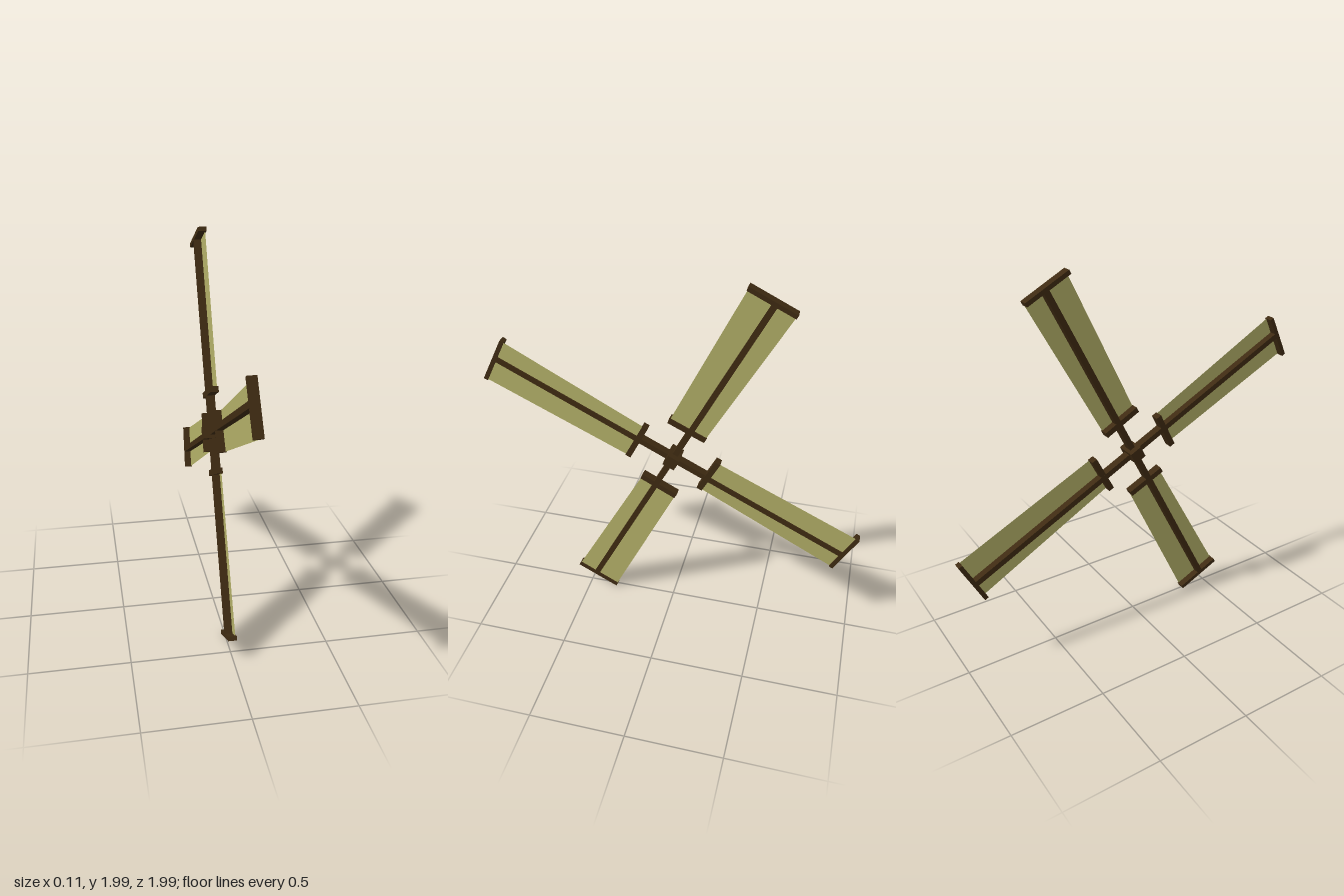
import * as THREE from 'three';

const wood = new THREE.MeshStandardMaterial({ color: 0x3f2b12, flatShading: true });
const cloth = new THREE.MeshStandardMaterial({ color: 0xb3b068, side: THREE.DoubleSide });

function box(name, size, pos) {
  const mesh = new THREE.Mesh(new THREE.BoxGeometry(...size), wood);
  mesh.name = name;
  mesh.position.set(...pos);
  return mesh;
}

// One blade pointing up +y, its width along z
function createBlade() {
  const blade = new THREE.Group();
  blade.name = 'blade';
  blade.add(box('spar', [0.044, 1.03, 0.03], [0, 0.515, 0]));

  // Cross bars and sail share a slight pitch about the spar
  const frame = new THREE.Group();
  frame.name = 'sailFrame';
  frame.rotation.y = 0.03;
  frame.add(box('innerBar', [0.044, 0.03, 0.21], [0, 0.205, 0.019]));
  frame.add(box('outerBar', [0.044, 0.022, 0.253], [0, 1.034, 0.0145]));

  // Tapered sail, drawn as (-z, y) and turned into the blade plane
  const outline = new THREE.Shape([
    new THREE.Vector2(-0.121, 0.2),
    new THREE.Vector2(0.083, 0.2),
    new THREE.Vector2(0.109, 1.03),
    new THREE.Vector2(-0.138, 1.03),
  ]);
  const sail = new THREE.Mesh(new THREE.ShapeGeometry(outline), cloth);
  sail.name = 'sail';
  sail.rotation.y = Math.PI / 2;
  sail.position.x = 0.015;
  frame.add(sail);

  blade.add(frame);
  return blade;
}

export function createModel() {
  const model = new THREE.Group();
  model.name = 'windmillSails';

  const rotor = new THREE.Group();
  rotor.name = 'rotor';
  rotor.position.y = 1;
  rotor.rotation.x = -0.466;
  rotor.add(box('hub', [0.108, 0.066, 0.066], [0, 0, 0]));

  // Four blades around the x axle
  for (let i = 0; i < 4; i++) {
    const blade = createBlade();
    blade.rotation.x = (i * Math.PI) / 2;
    rotor.add(blade);
  }
  model.add(rotor);
  return model;
}
